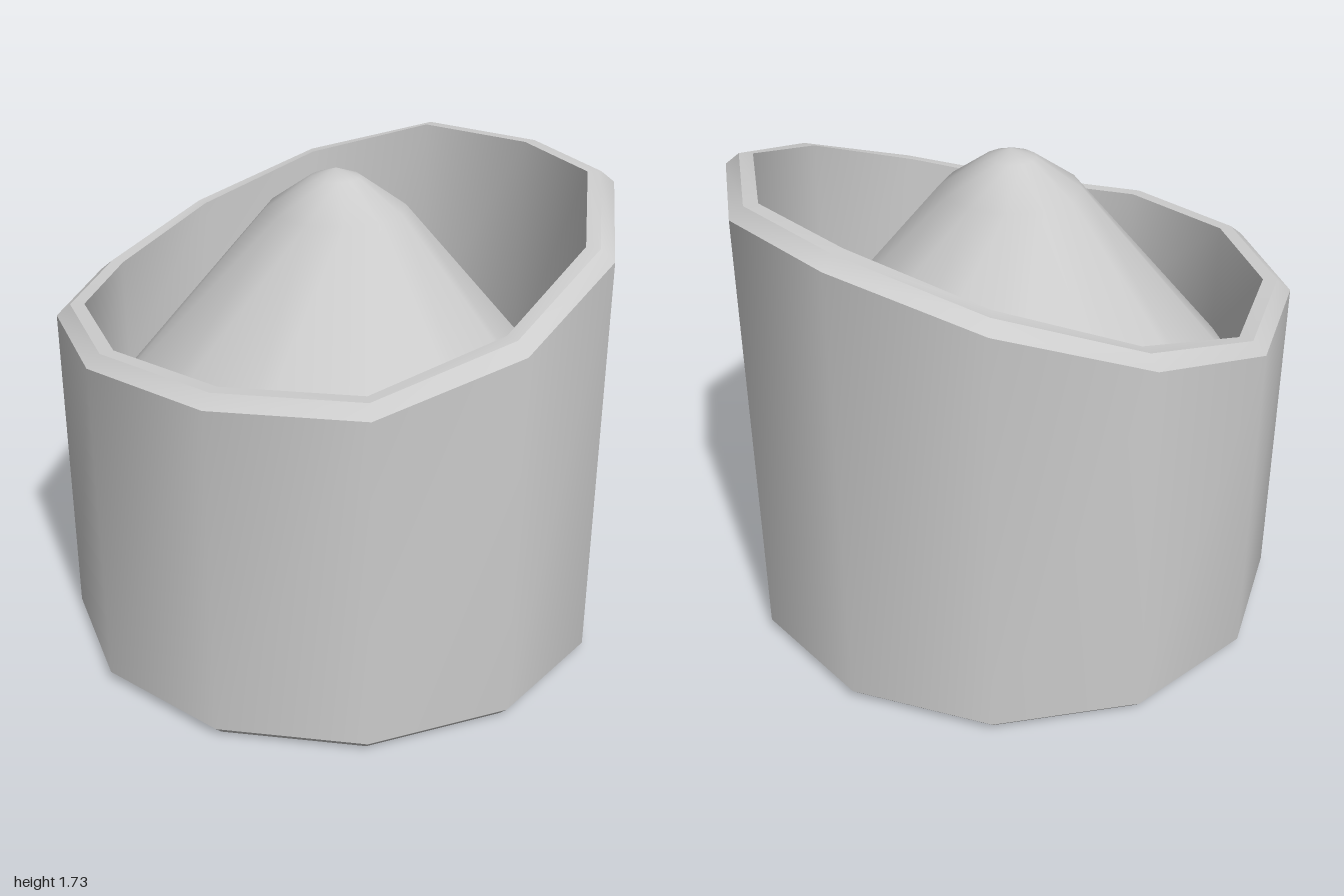
import * as THREE from 'three';
import { mergeVertices } from 'three/addons/utils/BufferGeometryUtils.js';

const SIDES = 12;
// Height of the sloping lip at each corner, from front (0) round to back (6)
const LIP = [1.22, 1.22, 1.22, 1.35, 1.52, 1.65, 1.65];
const lip = (i) => LIP[Math.min(i, SIDES - i)];

// One smooth band of faces through rings [radius, height, followsLip]
function band(rings) {
  const positions = [];
  const index = [];
  rings.forEach(([r, y, followsLip]) => {
    for (let i = 0; i < SIDES; i++) {
      const a = (i / SIDES) * Math.PI * 2;
      positions.push(r * Math.sin(a), y + (followsLip ? lip(i) : 0), r * Math.cos(a));
    }
  });
  for (let k = 0; k < rings.length - 1; k++) {
    for (let i = 0; i < SIDES; i++) {
      const j = (i + 1) % SIDES;
      const a = k * SIDES + i, b = k * SIDES + j;
      const c = b + SIDES, d = a + SIDES;
      if (rings[k][0] > 0) index.push(a, b, c);
      if (rings[k + 1][0] > 0) index.push(a, c, d);
      else if (rings[k][0] > 0) continue;
    }
  }
  const geometry = new THREE.BufferGeometry();
  geometry.setAttribute('position', new THREE.Float32BufferAttribute(positions, 3));
  geometry.setIndex(index);
  const merged = mergeVertices(geometry);
  merged.computeVertexNormals();
  return merged;
}

export function createModel() {
  const group = new THREE.Group();
  const material = new THREE.MeshStandardMaterial({ color: 0xcccccc });
  const add = (name, rings) => {
    const mesh = new THREE.Mesh(band(rings), material);
    mesh.name = name;
    group.add(mesh);
  };

  // Base and outer shell
  add('base', [[0, 0], [0.965, 0]]);
  add('baseBevel', [[0.965, 0], [1, 0.035]]);
  add('outerWall', [[1, 0.035], [1, 0, true]]);

  // Sloping rim, higher at the back
  add('rimBevel', [[1, 0, true], [0.95, 0.04, true]]);
  add('rimTop', [[0.95, 0.04, true], [0.9, 0.04, true]]);

  // Hollow inside with a cone-shaped heap rising from the wall
  add('innerWall', [[0.9, 0.04, true], [0.9, 0.83]]);
  add('cone', [[0.9, 0.83], [0.25, 1.59], [0.09, 1.7], [0, 1.73]]);
  return group;
}
